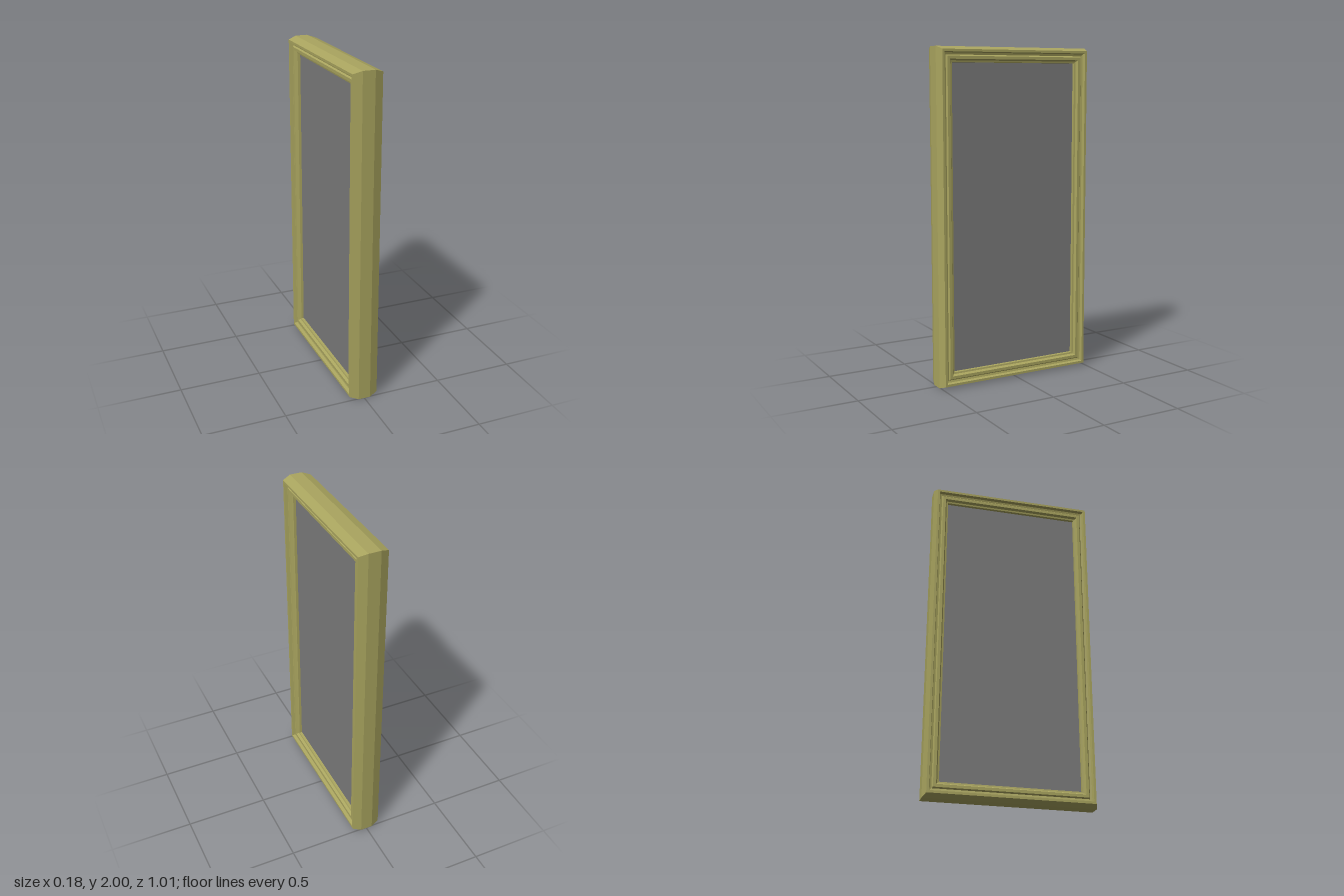
import * as THREE from 'three';

const HALF_WIDTH = 0.505; // along z
const HALF_HEIGHT = 1; // along y

// Sweeps a moulding profile of [inset from outer edge, x] around the rectangle, with mitred corners
function mitredFrame(profile) {
  const corners = [[1, -1], [-1, -1], [-1, 1], [1, 1]]; // signs of z, y
  const point = ([inset, x], [sz, sy]) =>
    [x, HALF_HEIGHT + sy * (HALF_HEIGHT - inset), sz * (HALF_WIDTH - inset)];
  const positions = [];
  for (let k = 0; k < 4; k++) {
    const c = corners[k], n = corners[(k + 1) % 4];
    for (let i = 0; i < profile.length - 1; i++) {
      const a = profile[i], b = profile[i + 1];
      positions.push(
        ...point(b, c), ...point(b, n), ...point(a, n),
        ...point(b, c), ...point(a, n), ...point(a, c));
    }
  }
  const geometry = new THREE.BufferGeometry();
  geometry.setAttribute('position', new THREE.Float32BufferAttribute(positions, 3));
  geometry.computeVertexNormals();
  return geometry;
}

export function createModel() {
  const model = new THREE.Group();
  model.name = 'framedPanel';

  // Stepped moulding, from the panel out to the bevelled rim, same on both faces
  const half = [
    [0.092, 0.035], [0.09, 0.058], [0.08, 0.06], [0.072, 0.075], [0.055, 0.075],
    [0.048, 0.066], [0.036, 0.069], [0.031, 0.088], [0.017, 0.088], [0, 0.037],
  ];
  const back = half.map(([inset, x]) => [inset, -x]).reverse();
  const frame = new THREE.Mesh(
    mitredFrame([...half, ...back]),
    new THREE.MeshStandardMaterial({ color: 0xaaa55f, flatShading: true }));
  frame.name = 'frame';
  model.add(frame);

  // Flat panel set back from both faces of the frame
  const panel = new THREE.Mesh(
    new THREE.BoxGeometry(0.084, 2 * (HALF_HEIGHT - 0.088), 2 * (HALF_WIDTH - 0.088)),
    new THREE.MeshStandardMaterial({ color: 0x7c7c7c }));
  panel.name = 'panel';
  panel.position.y = HALF_HEIGHT;
  model.add(panel);

  return model;
}
